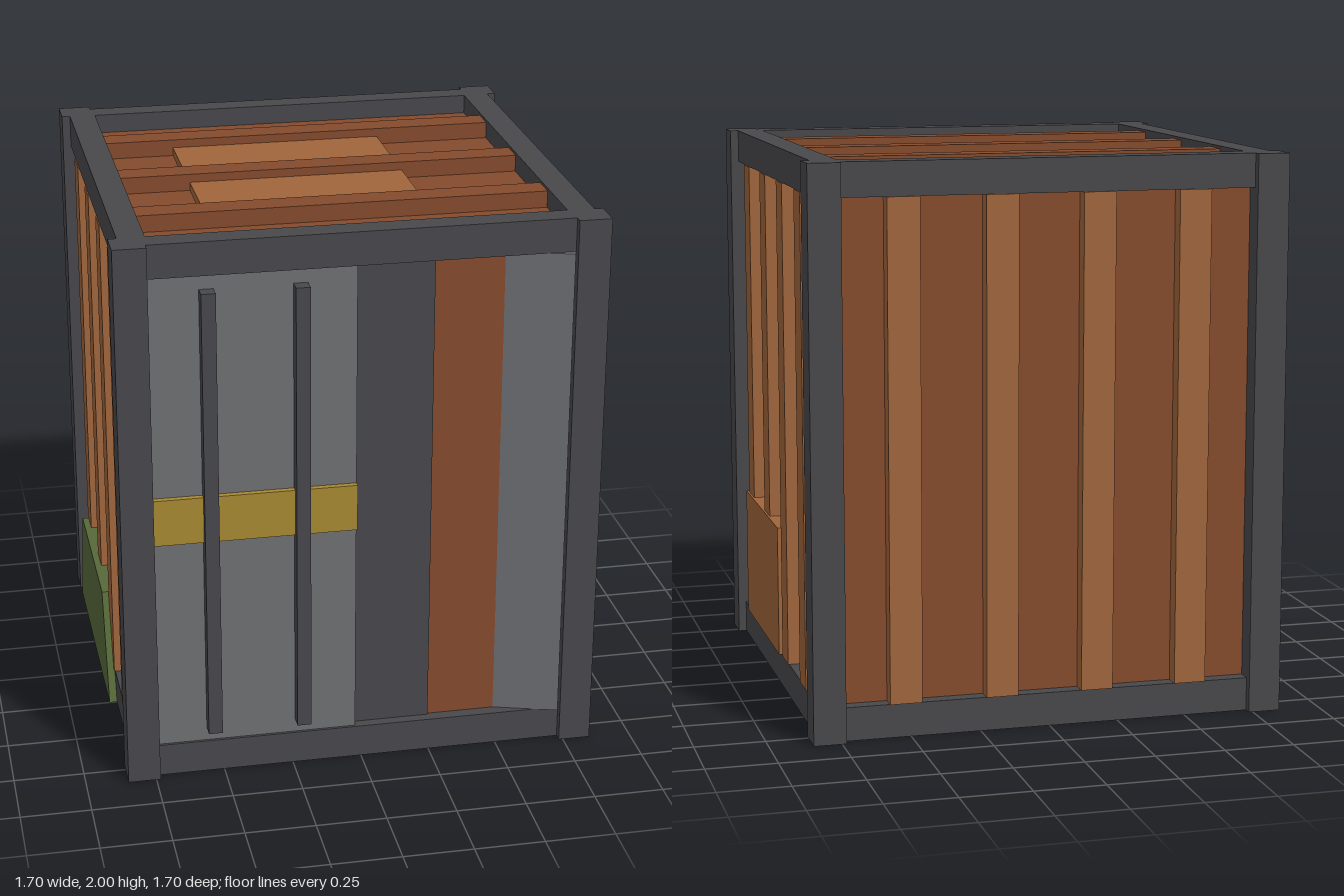
import * as THREE from 'three';

const mat = (name, color) => {
  const m = new THREE.MeshStandardMaterial({ color });
  m.name = name;
  return m;
};

export function createModel() {
  const steel = mat('dark steel', 0x48484c);
  const grey = mat('door grey', 0x6d6f72);
  const yellow = mat('stripe yellow', 0xa68833);
  const rust = mat('rust red', 0x844a2d);
  const light = mat('light rust', 0xa0653c);
  const green = mat('moss green', 0x566839);

  const model = new THREE.Group();
  model.name = 'container';

  // Box given by its min and max on each axis
  const box = (name, material, x0, x1, y0, y1, z0, z1) => {
    const mesh = new THREE.Mesh(new THREE.BoxGeometry(x1 - x0, y1 - y0, z1 - z0), material);
    mesh.position.set((x0 + x1) / 2, (y0 + y1) / 2, (z0 + z1) / 2);
    mesh.name = name;
    model.add(mesh);
    return mesh;
  };

  // Body and underside
  box('body', rust, -0.77, 0.77, 0.06, 1.93, -0.77, 0.765);
  box('floor', steel, -0.75, 0.75, 0, 0.1, -0.75, 0.74);

  // Corner posts
  for (const x of [-0.7925, 0.7925])
    for (const z of [-0.7925, 0.7825])
      box('cornerPost', steel, x - 0.0575, x + 0.0575, 0, 2, z - 0.0575, z + 0.0575);

  // Top and bottom beams
  for (const y of [0, 1.88]) {
    for (const z of [-0.82, 0.72])
      box('crossBeam', steel, -0.74, 0.74, y, y + 0.12, z, z + 0.09);
    for (const x of [-0.82, 0.725])
      box('sideBeam', steel, x, x + 0.095, y, y + 0.12, -0.74, 0.73);
  }

  // Vertical ribs on the sides and back
  for (const c of [-0.5175, -0.1725, 0.1725, 0.5175]) {
    const a = c - 0.0575, b = c + 0.0575;
    box('rightRib', light, 0.76, 0.824, 0.12, 1.88, a, b);
    box('leftRib', light, -0.824, -0.76, 0.12, 1.88, a, b);
    box('backRib', light, a, b, 0.12, 1.88, -0.826, -0.76);
  }

  // Roof ribs and patch
  for (const z of [-0.435, -0.005, 0.425])
    box('roofRib', rust, -0.725, 0.725, 1.92, 1.99, z - 0.05, z + 0.05);
  box('roofPatch', light, -0.475, 0.3, 1.92, 1.96, -0.4, 0.335);

  // Side repair patch
  box('sidePatch', light, 0.77, 0.832, 0.12, 0.6, -0.088, 0.598);

  // Closed door with stripe and locking rods
  box('closedDoor', grey, -0.735, -0.02, 0.12, 1.88, 0.75, 0.8);
  box('doorStripe', yellow, -0.735, -0.02, 0.91, 1.08, 0.79, 0.822);
  for (const x of [-0.535, -0.215])
    box('lockingRod', steel, x - 0.025, x + 0.025, 0.17, 1.83, 0.79, 0.85);

  // Dark panel beside the closed door
  box('doorwayPanel', steel, -0.25, 0.255, 0.12, 1.88, 0.74, 0.772);

  // Ajar door, turned about its hinge
  const doorGeometry = new THREE.BoxGeometry(0.7, 1.76, 0.05);
  doorGeometry.translate(-0.35, 0, -0.025);
  const ajarDoor = new THREE.Mesh(doorGeometry, grey);
  ajarDoor.name = 'ajarDoor';
  ajarDoor.position.set(0.727, 1, 0.835);
  ajarDoor.rotation.y = -0.3;
  model.add(ajarDoor);

  // Moss slab at the foot of the side wall: outline in z and y, thickness along x
  const outline = new THREE.Shape([
    new THREE.Vector2(-0.25, 0), new THREE.Vector2(0.695, 0),
    new THREE.Vector2(0.555, 0.395), new THREE.Vector2(-0.11, 0.395),
  ]);
  const moss = new THREE.Mesh(
    new THREE.ExtrudeGeometry(outline, { depth: 0.05, bevelEnabled: false }), green);
  moss.name = 'mossSlab';
  moss.rotation.y = Math.PI / 2;
  moss.position.x = -0.848;
  model.add(moss);

  return model;
}
